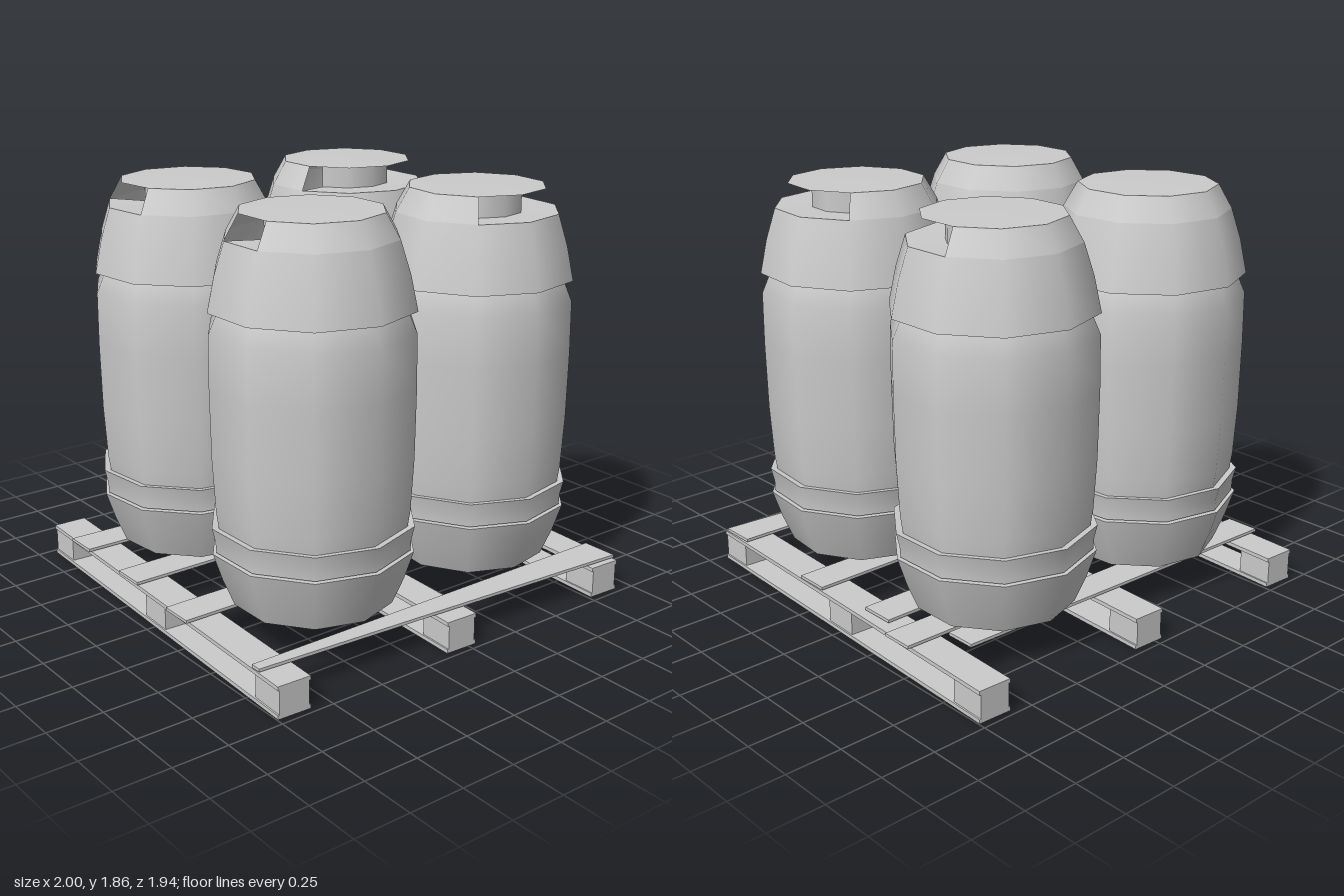
import * as THREE from 'three';

const mat = new THREE.MeshStandardMaterial({ color: 0xcccccc, side: THREE.DoubleSide });
const SIDES = 10;
const STEP = Math.PI * 2 / SIDES;

function add(parent, name, geometry) {
  const mesh = new THREE.Mesh(geometry, mat);
  mesh.name = name;
  parent.add(mesh);
  return mesh;
}

// Revolved sheet from [radius, height] pairs, covering some of the sides
function turned(parent, name, profile, first = 0, count = SIDES) {
  const points = profile.map(([r, y]) => new THREE.Vector2(r, y));
  return add(parent, name, new THREE.LatheGeometry(points, count, first * STEP, count * STEP));
}

// One gas bottle; the slot is the hand opening in the top guard, counted in sides
function createBottle(slotFirst, slotCount) {
  const bottle = new THREE.Group();
  bottle.name = 'bottle';

  turned(bottle, 'footBottom', [[0, 0.195], [0.35, 0.19]]);
  turned(bottle, 'foot', [[0.35, 0.19], [0.4, 0.31], [0.44, 0.435]]);
  turned(bottle, 'footRim', [[0.44, 0.435], [0.4, 0.435]]);
  turned(bottle, 'lowerBand', [[0.425, 0.44], [0.428, 0.49], [0.442, 0.55]]);
  turned(bottle, 'bandRim', [[0.442, 0.55], [0.4, 0.545]]);
  turned(bottle, 'body', [[0.405, 0.5], [0.422, 0.62], [0.435, 0.85], [0.44, 1.15], [0.438, 1.38], [0.395, 1.48]]);

  // Tapered guard with an overhanging lower edge
  turned(bottle, 'guardRim', [[0.39, 1.48], [0.44, 1.47]]);
  turned(bottle, 'guardWall', [[0.44, 1.47], [0.408, 1.62], [0.365, 1.755]]);
  turned(bottle, 'guardShoulder', [[0.365, 1.755], [0.305, 1.86]],
    slotFirst + slotCount, SIDES - slotCount);
  turned(bottle, 'guardTop', [[0.305, 1.86], [0, 1.862]]);

  // Recess behind the hand opening
  turned(bottle, 'slotFloor', [[0.365, 1.755], [0.2, 1.75]], slotFirst, slotCount);
  turned(bottle, 'slotBack', [[0.2, 1.75], [0.2, 1.86]], slotFirst, slotCount);
  return bottle;
}

// Board along x whose two ends have their own z position and width
function boardGeometry(x0, x1, z0, width0, z1, width1) {
  const geometry = new THREE.BoxGeometry(1, 0.014, 1);
  const p = geometry.attributes.position;
  for (let i = 0; i < p.count; i++) {
    const left = p.getX(i) < 0;
    p.setX(i, left ? x0 : x1);
    p.setZ(i, left ? z0 + p.getZ(i) * width0 : z1 + p.getZ(i) * width1);
  }
  geometry.computeVertexNormals();
  return geometry;
}

function createPallet() {
  const pallet = new THREE.Group();
  pallet.name = 'pallet';

  // Three runners, each with two thin boards and three blocks between
  for (const x of [-0.88, 0, 0.88]) {
    const runner = new THREE.Group();
    runner.name = 'runner';
    for (const [name, y] of [['runnerBottomBoard', 0.012], ['runnerTopBoard', 0.137]]) {
      add(runner, name, new THREE.BoxGeometry(0.155, 0.018, 1.94)).position.y = y;
    }
    for (const z of [-0.885, 0, 0.885]) {
      add(runner, 'block', new THREE.BoxGeometry(0.14, 0.11, 0.17)).position.set(0, 0.075, z);
    }
    runner.position.x = x;
    runner.rotation.y = -0.04;
    pallet.add(runner);
  }

  // Deck boards: x ends, then z and width at each end
  const boards = [
    [-0.95, 0.8, -0.66, 0.16, -0.62, 0.14],
    [0.05, 1.0, -0.47, 0.15, -0.455, 0.15],
    [-0.96, 0.92, -0.215, 0.16, -0.22, 0.16],
    [-0.99, 0.95, 0.23, 0.16, 0.215, 0.16],
    [-0.99, 0.92, 0.81, 0.05, 0.865, 0.17],
  ];
  for (const board of boards) {
    add(pallet, 'deckBoard', boardGeometry(...board)).position.y = 0.158;
  }
  return pallet;
}

export function createModel() {
  const model = new THREE.Group();
  model.name = 'bottlesOnPallet';
  model.add(createPallet());

  // x, z, first slot side, slot sides (side 0 starts at +z), turn
  const bottles = [
    [-0.44, 0.46, -3, 1, 0],
    [0.455, 0.46, -1, 5, -0.1],
    [-0.44, -0.445, -4, 2, 0.1],
    [0.455, -0.445, -2, 5, 0],
  ];
  for (const [x, z, first, count, turn] of bottles) {
    const bottle = createBottle(first, count);
    bottle.position.set(x, 0, z);
    bottle.rotation.y = turn;
    model.add(bottle);
  }
  return model;
}
